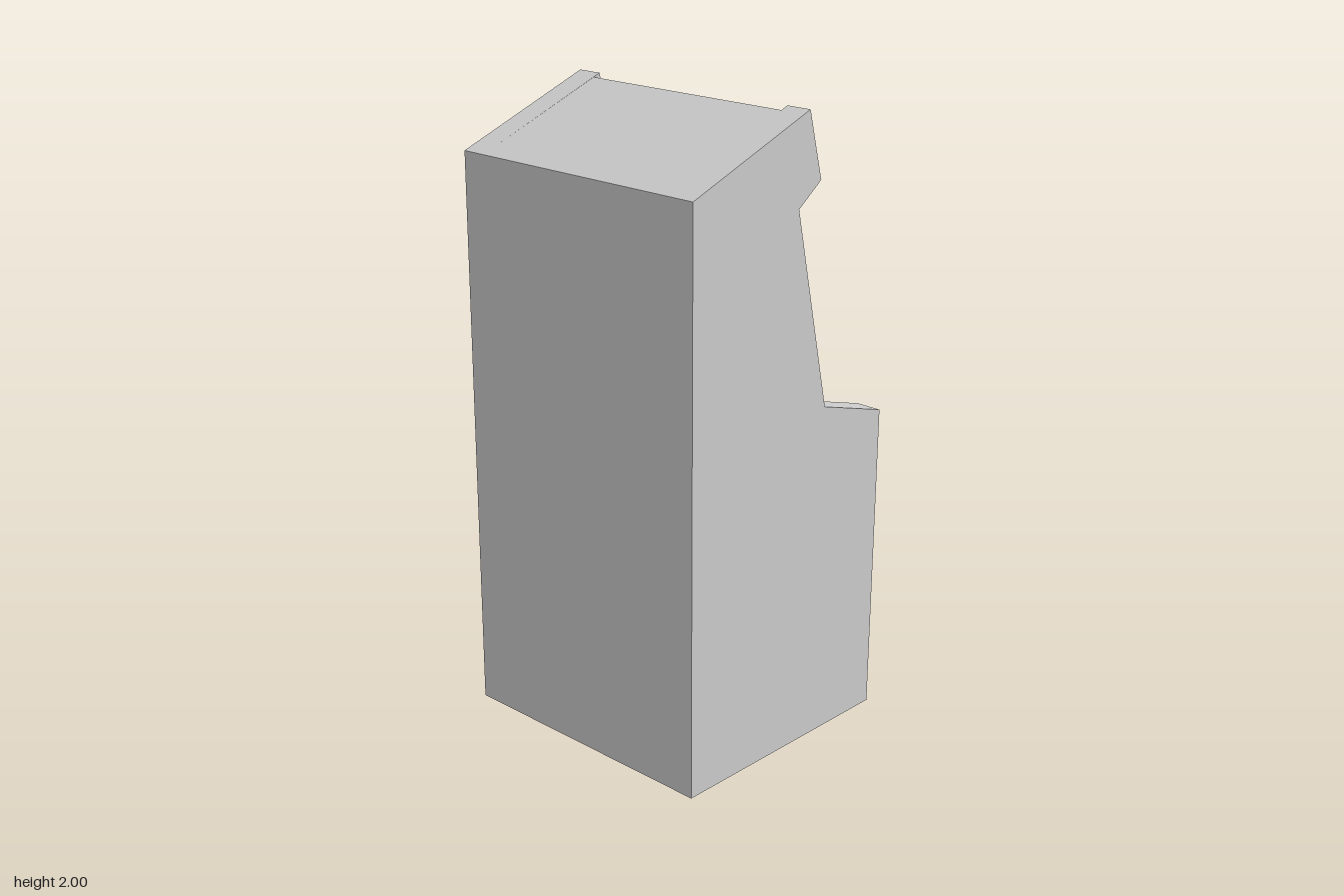
import * as THREE from 'three';

const HALF_WIDTH = 0.465;
const PANEL = 0.085;

// Side panel outline as [z, y]; the control face looks toward -z
const sideOutline = [
  [0.425, 0], [0.425, 1.82], [-0.055, 2], [-0.11, 1.79],
  [-0.015, 1.72], [-0.155, 1.09], [-0.425, 1.01], [-0.415, 0],
];

// Body outline, recessed behind the panel edges and open at the bottom
const bodyOutline = [
  [0.425, 0], [0.425, 1.82], [-0.03, 1.99], [-0.08, 1.8],
  [0.012, 1.73], [-0.131, 1.068], [-0.403, 0.988], [-0.393, 0],
];
const bodyParts = ['backPanel', 'roof', 'marquee', 'marqueeUnderside', 'screenPanel', 'controlDeck', 'frontPanel'];

// Sheet spanning the cabinet between two outline points
function sheet([z0, y0], [z1, y1], halfWidth) {
  const geometry = new THREE.PlaneGeometry(1, 1);
  const p = geometry.attributes.position;
  const corners = [
    [halfWidth, y1, z1], [-halfWidth, y1, z1],
    [halfWidth, y0, z0], [-halfWidth, y0, z0],
  ];
  // Corner order keeps the face turned outward
  [1, 0, 3, 2].forEach((c, i) => p.setXYZ(i, ...corners[c]));
  geometry.computeVertexNormals();
  return geometry;
}

export function createModel() {
  const cabinet = new THREE.Group();
  cabinet.name = 'arcadeCabinet';
  const solid = new THREE.MeshStandardMaterial({ color: 0xcccccc });
  const thin = new THREE.MeshStandardMaterial({ color: 0xcccccc, side: THREE.DoubleSide });

  // Thick side panels
  const shape = new THREE.Shape(sideOutline.map(([z, y]) => new THREE.Vector2(z, y)));
  const panel = new THREE.ExtrudeGeometry(shape, { depth: PANEL, bevelEnabled: false });
  panel.rotateY(-Math.PI / 2).translate(PANEL / 2, 0, 0);
  for (const side of [1, -1]) {
    const mesh = new THREE.Mesh(panel, solid);
    mesh.name = side > 0 ? 'leftSidePanel' : 'rightSidePanel';
    mesh.position.x = side * (HALF_WIDTH - PANEL / 2);
    cabinet.add(mesh);
  }

  // Thin recessed body sheets between the side panels
  const body = new THREE.Group();
  body.name = 'body';
  bodyParts.forEach((name, i) => {
    const mesh = new THREE.Mesh(sheet(bodyOutline[i], bodyOutline[i + 1], HALF_WIDTH - PANEL), thin);
    mesh.name = name;
    body.add(mesh);
  });
  cabinet.add(body);

  return cabinet;
}
